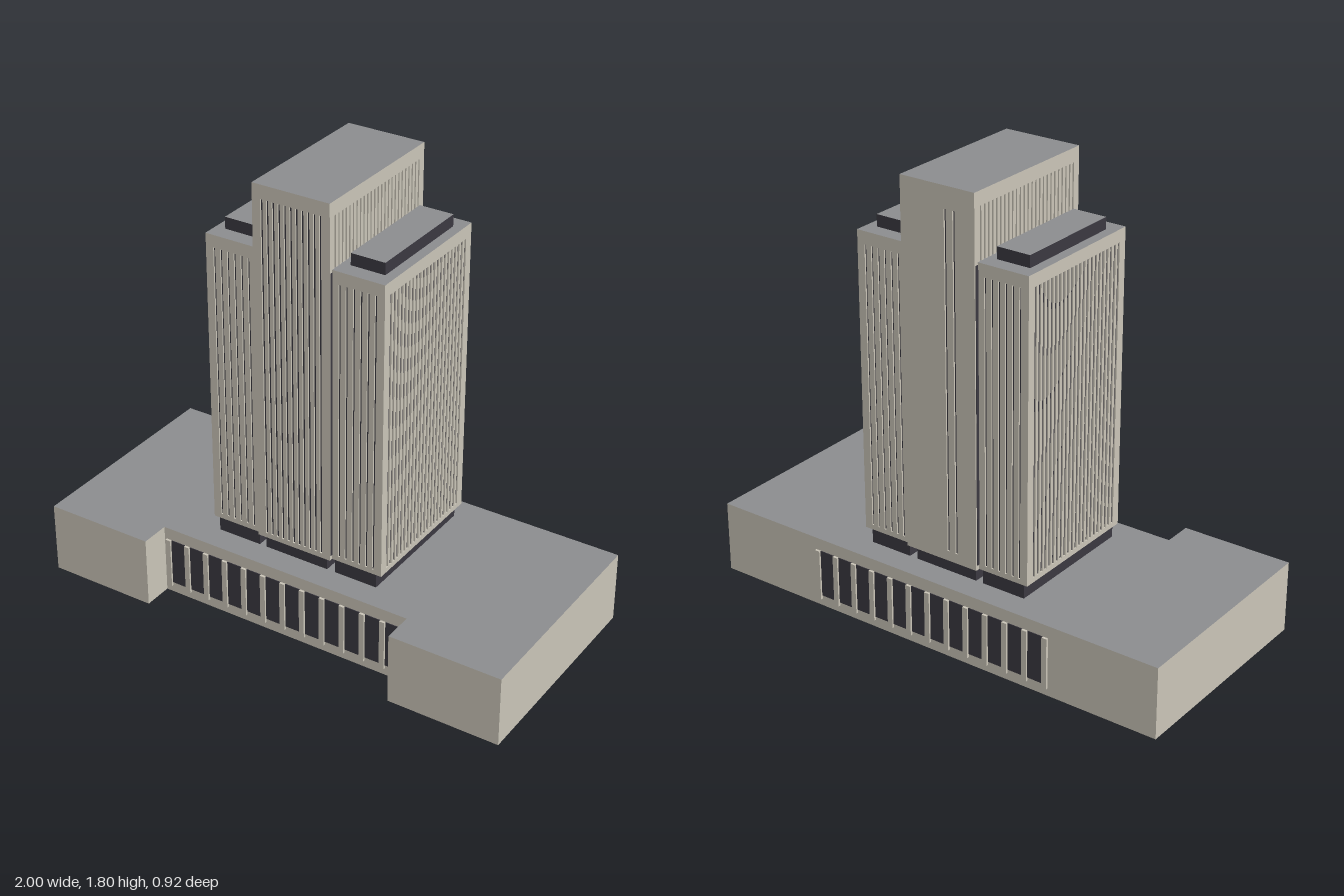
import * as THREE from 'three';

const stone = new THREE.MeshStandardMaterial({ color: 0xc9c4b7 });
stone.name = 'stone';
const roofGrey = new THREE.MeshStandardMaterial({ color: 0x8b8c8e });
roofGrey.name = 'roofGrey';
const darkGlass = new THREE.MeshStandardMaterial({ color: 0x3a3840 });
darkGlass.name = 'darkGlass';

const RECESS = 0.006;

function add(parent, name, geometry, material) {
  const mesh = new THREE.Mesh(geometry, material);
  mesh.name = name;
  parent.add(mesh);
  return mesh;
}

// Box given by its limits; the top may have its own material
function box(parent, name, [x0, x1], [y0, y1], [z0, z1], side, top = side) {
  const geometry = new THREE.BoxGeometry(x1 - x0, y1 - y0, z1 - z0);
  const material = top === side ? side : [side, side, top, side, side, side];
  const mesh = add(parent, name, geometry, material);
  mesh.position.set((x0 + x1) / 2, (y0 + y1) / 2, (z0 + z1) / 2);
  return mesh;
}

function rectangle(Type, x0, x1, y0, y1) {
  return new Type([[x0, y0], [x1, y0], [x1, y1], [x0, y1]].map(p => new THREE.Vector2(...p)));
}

// Evenly spaced slot centres
function spread(count, from, to) {
  return Array.from({ length: count }, (_, i) => from + (to - from) * i / (count - 1));
}

// Stone wall pierced by tall slots, facing +z before it is turned
function wall(parent, name, width, [y0, y1], slots, slotWidth, [s0, s1], place, turn) {
  const shape = rectangle(THREE.Shape, -width / 2, width / 2, y0, y1);
  for (const x of slots) {
    shape.holes.push(rectangle(THREE.Path, x - slotWidth / 2, x + slotWidth / 2, s0, s1));
  }
  const geometry = new THREE.ExtrudeGeometry(shape, { depth: RECESS, bevelEnabled: false });
  const mesh = add(parent, name, geometry, stone);
  mesh.position.set(...place);
  mesh.rotation.y = turn;
}

// Tower: dark core, four slotted walls, floor slab and roof
function tower(parent, name, xs, ys, zs, slots) {
  const group = new THREE.Group();
  group.name = name;
  parent.add(group);
  const [x0, x1] = xs, [y0, y1] = ys, [z0, z1] = zs;
  const cx = (x0 + x1) / 2, cz = (z0 + z1) / 2, d = RECESS;
  const slab = 0.004;
  const wallYs = [y0 + slab, y1 - slab];
  box(group, 'darkCore', [x0 + d, x1 - d], wallYs, [z0 + d, z1 - d], darkGlass);
  box(group, 'floorSlab', xs, [y0, y0 + slab], zs, stone);
  box(group, 'roof', xs, [y1 - slab, y1], zs, stone, roofGrey);
  const w = x1 - x0, depth = z1 - z0 - 2 * d;
  const { front, back, side, frontWidth, sideWidth, span, backSpan = span } = slots;
  wall(group, 'frontWall', w, wallYs, front, frontWidth, span, [cx, 0, z1 - d], 0);
  wall(group, 'backWall', w, wallYs, back, frontWidth, backSpan, [cx, 0, z0 + d], Math.PI);
  wall(group, 'leftWall', depth, wallYs, side, sideWidth, span, [x1 - d, 0, cz], Math.PI / 2);
  wall(group, 'rightWall', depth, wallYs, side, sideWidth, span, [x0 + d, 0, cz], -Math.PI / 2);
  return group;
}

// Row of tall windows between projecting pillars
function colonnade(parent, name, z, turn) {
  const group = new THREE.Group();
  group.name = name;
  const pitch = 0.0882;
  for (let i = 0; i <= 12; i++) {
    const x = (i - 6) * pitch;
    box(group, 'pillar', [x - 0.011, x + 0.011], [0.03, 0.24], [-0.005, 0.01], stone);
    if (i < 12) {
      const m = x + pitch / 2;
      box(group, 'window', [m - 0.0325, m + 0.0325], [0.045, 0.24], [-0.003, 0.003], darkGlass);
    }
  }
  group.position.z = z;
  group.rotation.y = turn;
  parent.add(group);
}

export function createModel() {
  const model = new THREE.Group();
  model.name = 'officeTower';

  // Podium with a recessed front entrance
  const outline = new THREE.Shape([
    [-1, -0.45], [-0.55, -0.45], [-0.55, -0.33], [0.54, -0.33],
    [0.54, -0.455], [1, -0.455], [1, 0.45], [-1, 0.45],
  ].map(p => new THREE.Vector2(...p)));
  const slab = depth => new THREE.ExtrudeGeometry(outline, { depth, bevelEnabled: false }).rotateX(-Math.PI / 2);
  add(model, 'podium', slab(0.287), stone);
  add(model, 'podiumRoof', slab(0.003), [roofGrey, stone]).position.y = 0.287;
  colonnade(model, 'frontColonnade', 0.33, 0);
  colonnade(model, 'backColonnade', -0.45, Math.PI);

  // Dark set-back storeys under the towers
  for (const xs of [[-0.36, -0.175], [-0.145, 0.13], [0.165, 0.345]]) {
    box(model, 'setBackStorey', xs, [0.29, 0.35], [-0.347, 0.226], darkGlass);
  }

  // Central tower
  tower(model, 'centralTower', [-0.165, 0.156], [0.35, 1.805], [-0.373, 0.247], {
    front: spread(11, -0.121, 0.121), back: [0.034, 0.071], side: spread(25, -0.275, 0.275),
    frontWidth: 0.009, sideWidth: 0.008, span: [0.37, 1.75], backSpan: [0.39, 1.72],
  });

  // Lower side towers with dark roof housings
  for (const [name, x0, x1] of [['rightTower', -0.38, -0.16], ['leftTower', 0.15, 0.37]]) {
    tower(model, name, [x0, x1], [0.35, 1.55], [-0.355, 0.232], {
      front: spread(6, -0.074, 0.074), back: spread(6, -0.074, 0.074), side: spread(22, -0.252, 0.252),
      frontWidth: 0.008, sideWidth: 0.012, span: [0.37, 1.5],
    });
    box(model, 'roofHousing', [x0 + 0.04, x1 - 0.04], [1.55, 1.597], [-0.293, 0.167], darkGlass, roofGrey);
  }

  // Dark joints where the side towers meet the central one
  for (const x of [-0.165, 0.156]) {
    for (const zs of [[0.23, 0.243], [-0.368, -0.353]]) {
      box(model, 'shadowJoint', [x - 0.002, x + 0.002], [0.37, 1.54], zs, darkGlass);
    }
  }
  return model;
}
